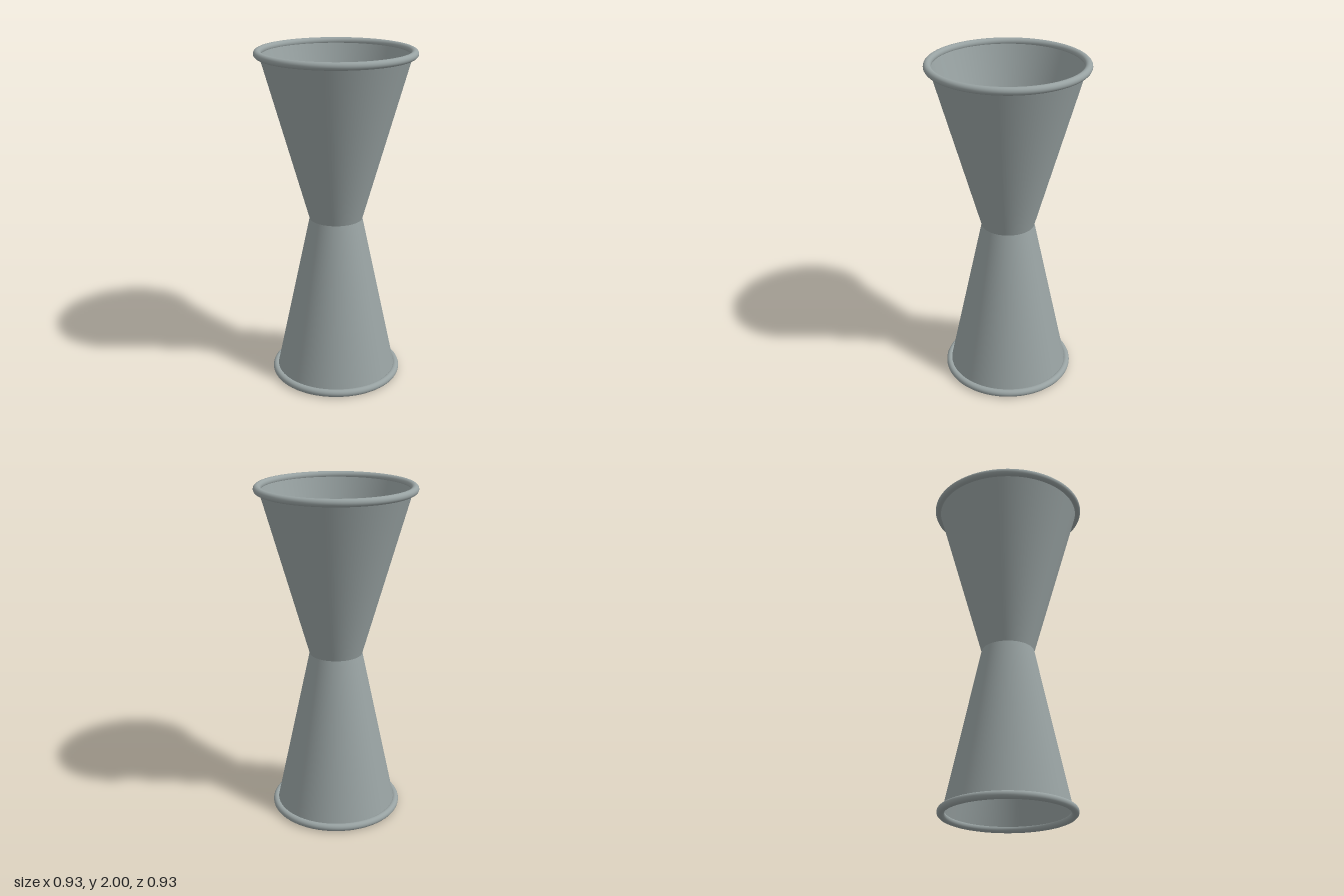
import * as THREE from 'three';

const SEGMENTS = 96;

export function createModel() {
  const model = new THREE.Group();
  model.name = 'doubleMeasuringCup';
  const steel = new THREE.MeshStandardMaterial({ color: 0x98a2a2 });
  steel.name = 'brushed steel';

  const add = (name, geometry, parent) => {
    const mesh = new THREE.Mesh(geometry, steel);
    mesh.name = name;
    parent.add(mesh);
    return mesh;
  };
  const lathe = (pairs) =>
    new THREE.LatheGeometry(pairs.map(([r, y]) => new THREE.Vector2(r, y)), SEGMENTS);

  // One cup: outer wall, inner wall with a softly rounded floor, rolled rim.
  // dir is +1 for the cup opening upwards, -1 for the one opening downwards.
  const addCup = (name, dir, mouth, rimRadius) => {
    const cup = new THREE.Group();
    cup.name = name;
    const waist = 0.157, height = 0.978, tube = 0.022;
    const outer = [[waist, 0], [mouth, height]];
    const inner = [[mouth - 0.01, height], [0.142, 0.05], [0.125, 0.03], [0.07, 0.018], [0, 0.015]];
    // Reversing the profile of the lower cup keeps its faces turned outwards
    const place = (profile) => {
      const points = profile.map(([r, h]) => [r, 1 + dir * h]);
      return dir > 0 ? points : points.reverse();
    };
    add(name + 'OuterWall', lathe(place(outer)), cup);
    add(name + 'InnerWall', lathe(place(inner)), cup);

    const rim = add(name + 'Rim', new THREE.TorusGeometry(rimRadius, tube, 20, SEGMENTS), cup);
    rim.rotation.x = Math.PI / 2;
    rim.position.y = 1 + dir * height;
    model.add(cup);
  };

  addCup('upperCup', 1, 0.434, 0.441);
  addCup('lowerCup', -1, 0.364, 0.371);
  return model;
}
